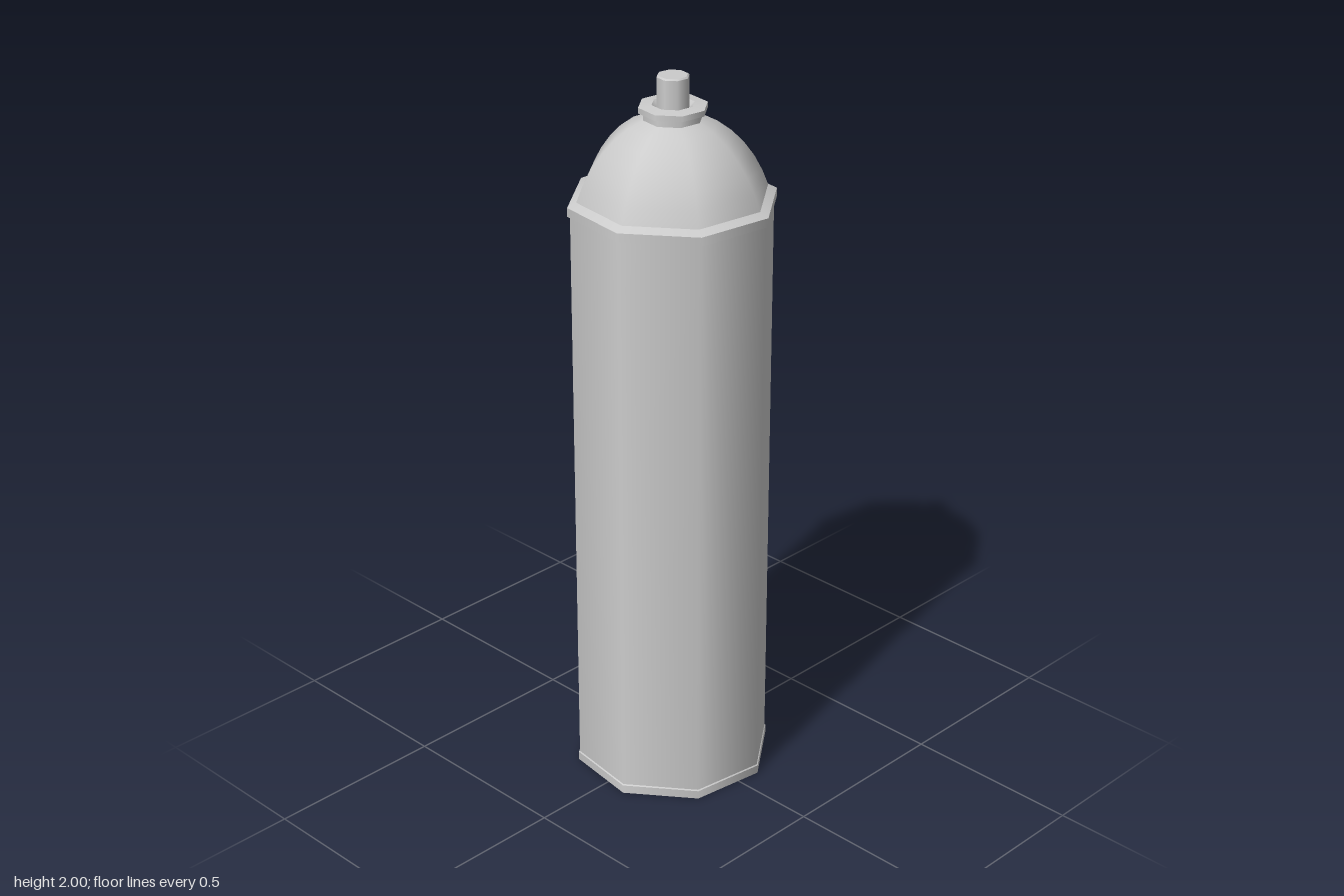
import * as THREE from 'three';

const SIDES = 8;
const TURN = THREE.MathUtils.degToRad(14.3);
const material = new THREE.MeshStandardMaterial({ color: 0xcccccc });

// Eight-sided turned part; each run of [radius, y] points is smooth, with hard edges between runs.
function turned(name, ...runs) {
  const group = new THREE.Group();
  group.name = name;
  runs.forEach((run, i) => {
    const points = run.map(([r, y]) => new THREE.Vector2(r, y));
    const mesh = new THREE.Mesh(new THREE.LatheGeometry(points, SIDES, TURN), material);
    mesh.name = `${name}Surface${i + 1}`;
    group.add(mesh);
  });
  return group;
}

// Splits a profile into one hard-edged run per segment.
const hard = (...pts) => pts.slice(1).map((p, i) => [pts[i], p]);

export function createModel() {
  const model = new THREE.Group();
  model.name = 'sprayCan';

  // Closed base with a thin rolled seam
  model.add(turned('base', ...hard([0, 0], [0.274, 0], [0.274, 0.024], [0.271, 0.027])));

  // Straight can wall
  model.add(turned('body', [[0.271, 0.027], [0.271, 1.645]]));

  // Shoulder rim with a bevelled top
  model.add(turned('shoulderRim', ...hard([0.271, 1.645], [0.278, 1.645], [0.278, 1.669], [0.254, 1.681])));

  // Rounded dome
  model.add(turned('dome', [
    [0.254, 1.681], [0.238, 1.722], [0.216, 1.764], [0.188, 1.803],
    [0.155, 1.838], [0.117, 1.867], [0.078, 1.885],
  ]));

  // Valve collar: neck, flange and recessed cup around the stem
  model.add(turned('valveCollar', ...hard(
    [0.078, 1.885], [0.078, 1.903], [0.091, 1.905], [0.091, 1.92],
    [0.056, 1.924], [0.043, 1.912])));

  // Stem with a flat closed top
  model.add(turned('stem', ...hard([0.043, 1.91], [0.043, 1.996], [0.039, 2], [0, 2])));

  return model;
}
